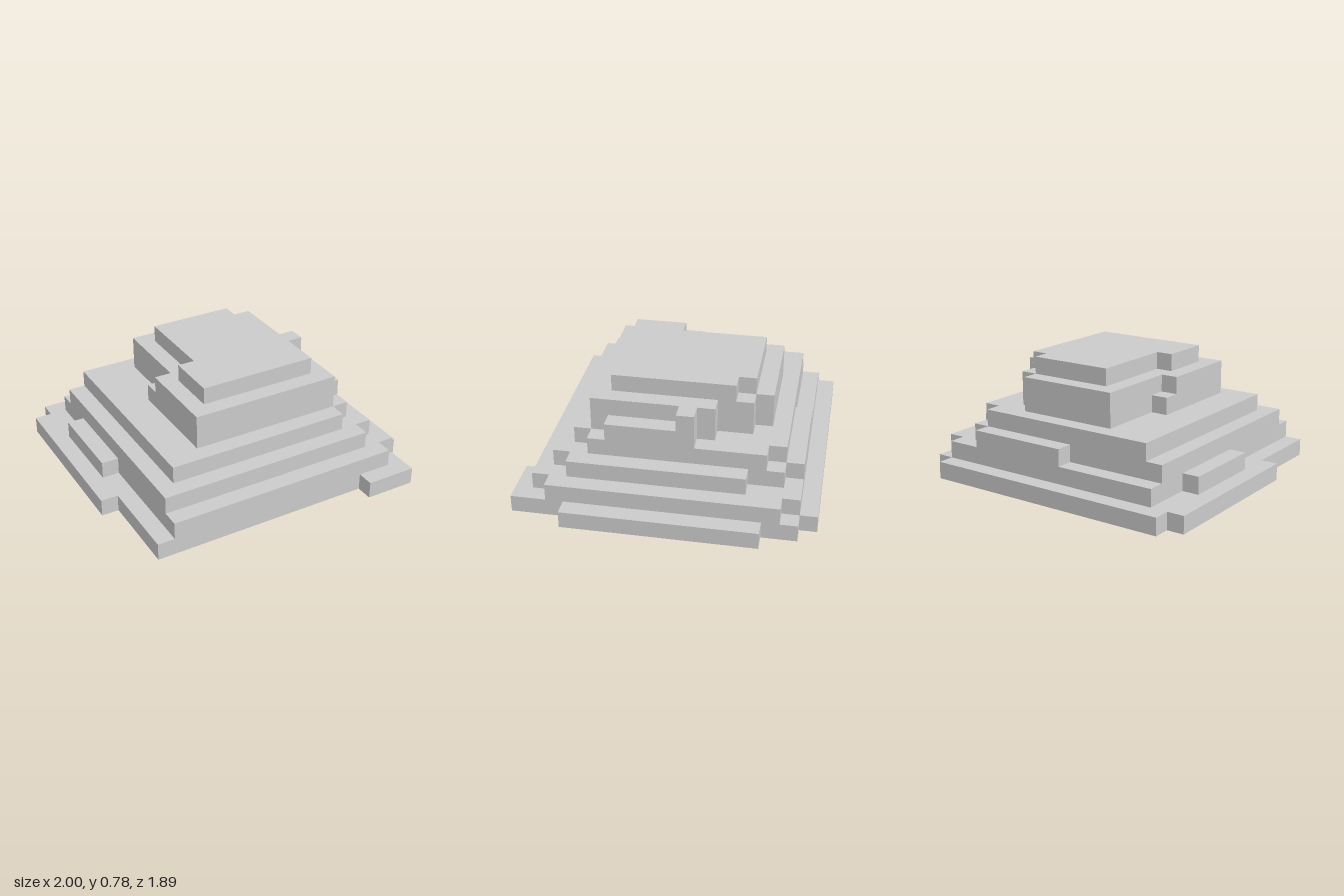
import * as THREE from 'three';

const UNIT = 1 / 9; // edge of one block

// Each terrace: one block high, from the ground up. Its outline is a list of
// [x, z] steps in block units: walk along x first, then along z.
const TERRACES = [
  ['baseTerrace', [[-8, -8.5], [7, -7.5], [8, -5.5], [9, 5.5], [8, 8.5], [5, 7.5], [-8, 2.5], [-9, -7.5]]],
  ['secondTerrace', [[-7, -7.5], [7, -6.5], [8, 6.5], [7, 7.5], [-7, 0.5], [-8, -4.5]]],
  ['thirdTerrace', [[-7, -6.5], [-1, -7.5], [5, -6.5], [6, -4.5], [7, 5.5], [6, 6.5]]],
  ['fourthTerrace', [[-6, -6.5], [5, -5.5], [6, 4.5], [5, 5.5]]],
  ['lowerPeak', [[-3, -5.5], [3, -4.5], [4, -2.5], [5, -1.5], [6, 3.5], [5, 4.5], [-4, -1.5]]],
  ['upperPeak', [[-3, -5.5], [3, -4.5], [4, -2.5], [5, -1.5], [6, -0.5], [5, 4.5], [-4, -0.5]]],
  ['summit', [[-2, -4.5], [3, -3.5], [4, 3.5], [-3, 0.5]]],
];

// Right-angled slab, one block thick, lying flat
function slab(steps) {
  const points = [];
  steps.forEach(([x, z], i) => {
    const previousZ = steps.at(i - 1)[1];
    points.push(new THREE.Vector2(x * UNIT, -previousZ * UNIT), new THREE.Vector2(x * UNIT, -z * UNIT));
  });
  const geometry = new THREE.ExtrudeGeometry(new THREE.Shape(points), { depth: UNIT, bevelEnabled: false });
  return geometry.rotateX(-Math.PI / 2);
}

export function createModel() {
  const model = new THREE.Group();
  model.name = 'steppedHill';
  const material = new THREE.MeshStandardMaterial({ color: 0xcccccc, flatShading: true });
  TERRACES.forEach(([name, steps], level) => {
    const terrace = new THREE.Mesh(slab(steps), material);
    terrace.name = name;
    terrace.position.y = level * UNIT;
    model.add(terrace);
  });
  return model;
}
